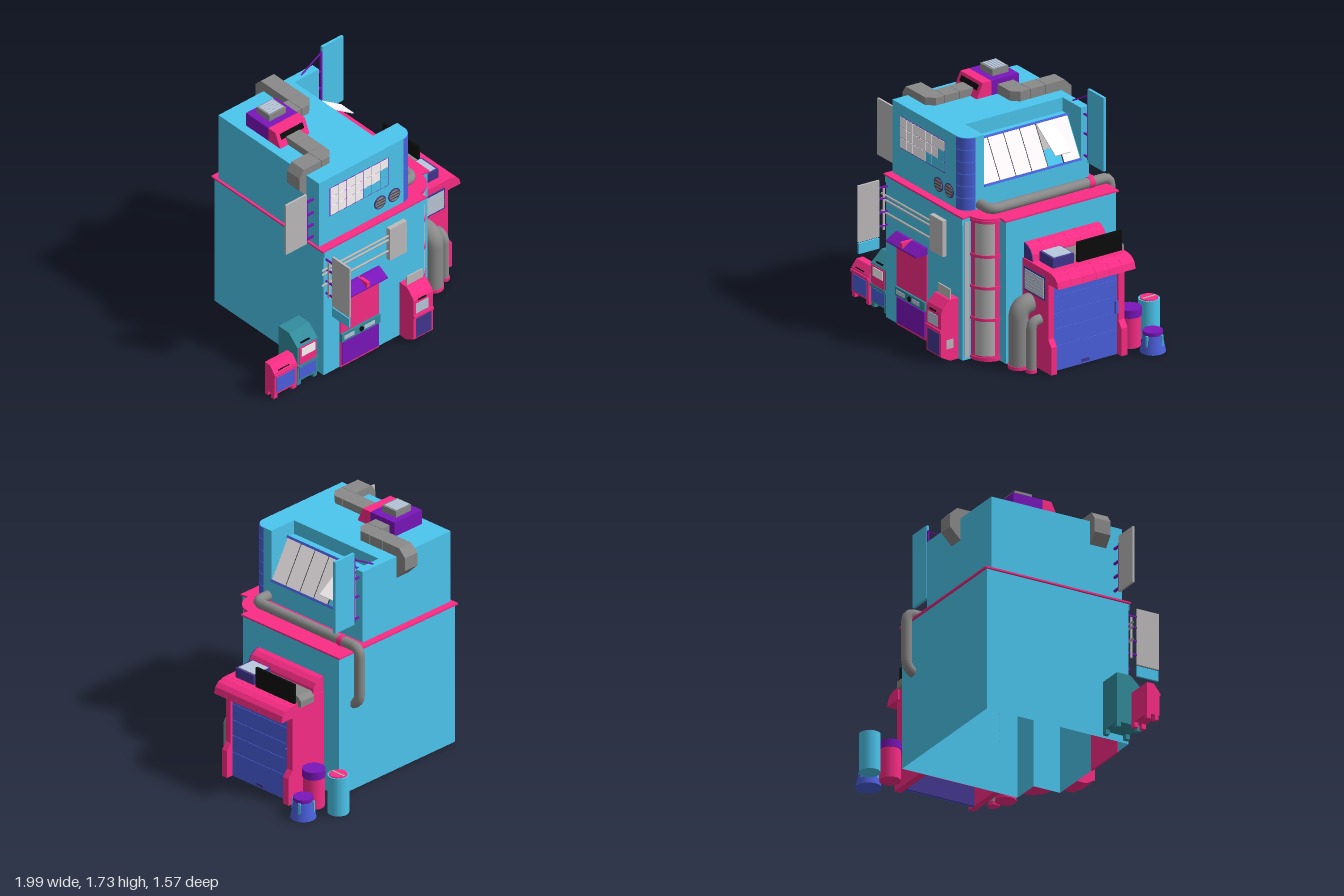
import * as THREE from 'three';
import { mergeGeometries } from 'three/addons/utils/BufferGeometryUtils.js';

const C = { cyan: 0x4cc6ee, pink: 0xfa2c86, blue: 0x4a60dd, purple: 0x7a16ba, navy: 0x423690, grey: 0x8a8a8a,
  light: 0xbcbaba, pane: 0xfffafc, teal: 0x338c9c, black: 0x0c0c0c, screen: 0xb8c8dc, dark: 0x3a3a46 };

export function createModel() {
  const root = new THREE.Group();
  const mats = {};
  const mat = (c) => (mats[c] ??= new THREE.MeshStandardMaterial({ color: C[c], side: THREE.DoubleSide }));
  const add = (name, c, geo) => {
    const m = new THREE.Mesh(geo, mat(c));
    m.name = name;
    root.add(m);
    return m;
  };
  // Box from its extents
  const box = (name, c, x0, x1, y0, y1, z0, z1) =>
    add(name, c, new THREE.BoxGeometry(x1 - x0, y1 - y0, z1 - z0).translate((x0 + x1) / 2, (y0 + y1) / 2, (z0 + z1) / 2));
  const extrude = (pts, depth) =>
    new THREE.ExtrudeGeometry(new THREE.Shape(pts.map((p) => new THREE.Vector2(p[0], p[1]))), { depth, bevelEnabled: false });
  // Prisms: (x,y) profile along z, (z,y) profile along x, (x,z) plan along y
  const prismZ = (name, c, pts, z0, z1) => add(name, c, extrude(pts, z1 - z0).translate(0, 0, z0));
  const prismX = (name, c, pts, x0, x1) =>
    add(name, c, extrude(pts.map(([z, y]) => [-z, y]), x1 - x0).rotateY(Math.PI / 2).translate(x0, 0, 0));
  const prismY = (name, c, pts, y0, y1) =>
    add(name, c, extrude(pts.map(([x, z]) => [x, -z]), y1 - y0).rotateX(-Math.PI / 2).translate(0, y0, 0));
  // Upright walls round a closed plan, open above and below
  const walls = (name, c, pts, h) => add(name, c, mergeGeometries(pts.map(([x, z], i) => {
    const [u, w] = pts[(i + 1) % pts.length];
    return new THREE.PlaneGeometry(Math.hypot(u - x, w - z), h).rotateY(Math.atan2(z - w, u - x)).translate((x + u) / 2, h / 2, (z + w) / 2);
  })));
  const cyl = (name, c, r0, r1, y0, y1, x, z, t0 = 0, t1 = Math.PI * 2, n = 24) =>
    add(name, c, new THREE.CylinderGeometry(r1, r0, y1 - y0, n, 1, false, t0, t1 - t0).translate(x, (y0 + y1) / 2, z));
  // Quarter arc from +z round to +x
  const arc = (cx, cz, r, n = 10) => Array.from({ length: n + 1 }, (_, i) => {
    const a = (i / n) * Math.PI / 2;
    return [cx + r * Math.sin(a), cz + r * Math.cos(a)];
  });
  // Round pipe through points, with rounded bends
  const pipe = (name, c, pts, r, bend = 0.1, sides = 16) => {
    const v = pts.map((p) => new THREE.Vector3(...p));
    const path = new THREE.CurvePath();
    let from = v[0];
    for (let i = 1; i < v.length - 1; i++) {
      const a = v[i].clone().add(v[i - 1].clone().sub(v[i]).setLength(bend));
      const b = v[i].clone().add(v[i + 1].clone().sub(v[i]).setLength(bend));
      path.add(new THREE.LineCurve3(from, a));
      path.add(new THREE.QuadraticBezierCurve3(a, v[i], b));
      from = b;
    }
    path.add(new THREE.LineCurve3(from, v[v.length - 1]));
    return add(name, c, new THREE.TubeGeometry(path, pts.length > 2 ? 60 : 1, r, sides, false));
  };
  const H = Math.PI / 2;

  // Lower storey: open-bottomed walls with a notched corner
  walls('lowerStorey', 'cyan', [[-0.575, 0.54], [0.32, 0.54], [0.32, 0.335], [0.53, 0.335], [0.53, -0.56], [-0.575, -0.56]], 1.03);
  prismY('ledge', 'pink', [[-0.59, 0.55], [0.335, 0.55], ...arc(0.325, 0.34, 0.148), [0.54, 0.345], [0.54, -0.575], [-0.59, -0.575]], 1.03, 1.042);
  box('frontCornice', 'cyan', -0.575, 0.32, 0.985, 1.03, 0.541, 0.547);

  // Rounded corner column with tall panes and rings
  cyl('cornerColumn', 'pink', 0.137, 0.137, 0, 1.03, 0.32, 0.335, 0, H);
  [[0.04, 0.295], [0.31, 0.525], [0.54, 0.755], [0.77, 1.0]].forEach(([a, b]) =>
    cyl('columnPane', 'light', 0.139, 0.139, a, b, 0.32, 0.335, 0.3, 1.3));
  [0.02, 0.302, 0.532, 0.762, 1.012].forEach((y) => cyl('columnRing', 'pink', 0.145, 0.145, y - 0.01, y + 0.01, 0.32, 0.335, 0, H));
  box('cornerPanel', 'light', 0.321, 0.326, 0.02, 1.0, 0.488, 0.525);

  // Upper storey: sloped window bay between two full-height ends
  prismZ('upperStorey', 'cyan', [[-0.572, 1.04], [0.265, 1.04], [0.265, 1.19], [0.105, 1.47], [0.05, 1.47], [0.05, 1.57], [-0.572, 1.57]], -0.46, 0.33);
  prismY('upperFront', 'cyan', [[-0.572, 0.33], [-0.572, 0.49], ...arc(0.175, 0.4, 0.09), [0.265, 0.33]], 1.04, 1.57);
  box('upperBack', 'cyan', -0.572, 0.265, 1.04, 1.57, -0.523, -0.46);
  for (let i = 0; i < 6; i++) {
    const y = 1.045 + i * 0.0875;
    cyl('blueCorner', 'blue', 0.094, 0.094, y, y + 0.0845, 0.175, 0.4, 0, H);
  }

  // Sloped window panes, one hanging open
  const slope = (t, d) => [0.262 - 0.157 * t + 0.87 * d, 1.195 + 0.275 * t + 0.5 * d];
  const slab = (name, c, t0, t1, d, z0, z1) => prismZ(name, c, [slope(t0, 0), slope(t0, d), slope(t1, d), slope(t1, 0)], z0, z1);
  for (let i = 0; i < 6; i++) {
    const z = 0.325 - i * 0.13;
    if (i === 4) slab('upperPane', 'light', 0.4, 1, 0.004, z - 0.127, z);
    else slab('slopedPane', 'pane', 0.02, 0.98, 0.006, z - 0.127, z);
    if (i) slab('slopedMullion', 'dark', 0, 1, 0.008, z, z + 0.004);
  }
  prismZ('openPane', 'pane', [[0.11, 1.475], [0.345, 1.315], [0.342, 1.309], [0.107, 1.469]], -0.325, -0.198);
  slab('windowSill', 'blue', -0.02, 0.03, 0.014, -0.46, 0.33);
  slab('windowHead', 'blue', 0.97, 1.02, 0.014, -0.46, 0.33);

  // Front grid window
  box('gridWindowFrame', 'purple', -0.478, 0.043, 1.252, 1.483, 0.485, 0.492);
  for (let i = 0; i < 7; i++) for (let j = 0; j < 3; j++) {
    const x = -0.475 + i * 0.0736, y = 1.256 + j * 0.0753;
    const broken = (j === 0 && i > 3) || (j === 1 && i === 6);
    box('gridPane', broken ? 'cyan' : 'pane', x + 0.002, x + 0.0716, y + 0.002, y + 0.0733, 0.486, 0.495);
  }
  // Round vents
  [-0.03, 0.095].forEach((x) => {
    add('ventRim', 'navy', new THREE.CylinderGeometry(0.052, 0.052, 0.014, 24).rotateX(H).translate(x, 1.145, 0.488));
    add('ventFace', 'grey', new THREE.CylinderGeometry(0.044, 0.044, 0.014, 24).rotateX(H).translate(x, 1.145, 0.49));
    for (let k = -1; k <= 1; k++) box('ventSlat', 'dark', x - 0.038, x + 0.038, 1.142 + k * 0.022, 1.148 + k * 0.022, 0.49, 0.499);
  });

  // Sign boards with brackets
  box('leftSign', 'light', -0.82, -0.635, 1.07, 1.48, 0.425, 0.44);
  box('leftSignRail', 'purple', -0.635, -0.625, 1.09, 1.43, 0.427, 0.438);
  [1.1, 1.2, 1.3, 1.41].forEach((y) => box('leftSignBracket', 'purple', -0.635, -0.57, y - 0.008, y + 0.008, 0.426, 0.438));
  box('frontSign', 'light', -0.562, -0.547, 0.61, 1.02, 0.612, 0.785);
  box('frontSignFoot', 'cyan', -0.562, -0.547, 0.525, 0.6, 0.612, 0.78);
  [0.68, 0.78, 0.88, 0.96].forEach((y) => box('frontSignBracket', 'purple', -0.56, -0.549, y - 0.006, y + 0.006, 0.541, 0.615));
  box('frontSignRail', 'light', -0.56, -0.549, 0.65, 0.95, 0.565, 0.58);
  box('rightSign', 'cyan', 0.315, 0.5, 1.185, 1.72, -0.498, -0.478);
  box('rightSignRail', 'purple', 0.302, 0.315, 1.2, 1.68, -0.494, -0.482);
  pipe('rightSignStrut', 'purple', [[0.13, 1.57, -0.488], [0.31, 1.67, -0.488]], 0.006, 0.1, 6);
  [1.22, 1.38, 1.52].forEach((y) => box('rightSignBracket', 'purple', 0.26, 0.31, y - 0.006, y + 0.006, -0.494, -0.482));

  // Front conduits and junction box
  [0.895, 0.86, 0.77].forEach((y) => pipe('conduit', 'light', [[-0.6, y, 0.558], [-0.01, y, 0.558]], 0.008, 0.1, 8));
  box('junctionBox', 'light', -0.015, 0.135, 0.695, 0.955, 0.541, 0.575);

  // Shuttered front entrance
  box('entranceFrame', 'pink', -0.435, -0.09, 0.0, 0.64, 0.535, 0.55);
  box('entranceBase', 'purple', -0.425, -0.1, 0.02, 0.205, 0.541, 0.56);
  box('entranceCounter', 'teal', -0.435, -0.09, 0.215, 0.28, 0.541, 0.565);
  [-0.38, -0.2].forEach((x) => box('counterScreen', 'screen', x - 0.035, x + 0.055, 0.233, 0.262, 0.55, 0.569));
  add('counterKnob', 'black', new THREE.CylinderGeometry(0.018, 0.018, 0.01, 16).rotateX(H).translate(-0.262, 0.248, 0.568));
  prismX('entranceAwning', 'purple', [[0.541, 0.675], [0.56, 0.675], [0.635, 0.63], [0.635, 0.62], [0.541, 0.625]], -0.438, -0.088);
  box('awningClip', 'pink', -0.275, -0.25, 0.635, 0.675, 0.541, 0.638);

  // Ticket machine with tapered foot
  prismX('ticketMachine', 'pink', [[0.541, 0], [0.61, 0], [0.682, 0.04], [0.682, 0.36], [0.67, 0.385], [0.615, 0.44], [0.541, 0.44]], 0.1, 0.272);
  box('ticketPanel', 'navy', 0.12, 0.255, 0.05, 0.205, 0.67, 0.686);
  box('ticketLedge', 'pink', 0.1, 0.272, 0.215, 0.235, 0.66, 0.692);
  box('ticketScreen', 'screen', 0.12, 0.23, 0.25, 0.33, 0.66, 0.686);
  box('ticketSlot', 'black', 0.14, 0.21, 0.35, 0.362, 0.66, 0.685);
  box('ticketBoard', 'light', 0.115, 0.255, 0.44, 0.51, 0.59, 0.6);
  box('ticketSideVent', 'light', 0.268, 0.275, 0.09, 0.155, 0.585, 0.64);

  // Standing cabinets: side profile, lower panel, ledge and feet
  const cabinet = (name, c, x0, x1, h, zb, zf, panelTop) => {
    const d = zf - zb;
    prismX(name, c, [[zb, 0.035], [zf, 0.035], [zf, h * 0.8], [zf - d * 0.45, h], [zb, h]], x0, x1);
    box(name + 'Panel', 'blue', x0 + 0.02, x1 - 0.02, 0.05, panelTop, zf - 0.03, zf + 0.004);
    box(name + 'Ledge', c, x0, x1, panelTop + 0.012, panelTop + 0.03, zf - 0.03, zf + 0.01);
    box(name + 'Slot', 'black', x0 + 0.04, x1 - 0.06, h * 0.81, h * 0.85, zf - 0.04, zf - d * 0.06);
    [x0, x1 - 0.035].forEach((x) => [zb, zf - 0.035].forEach((z) => box(name + 'Foot', c, x, x + 0.035, 0, 0.037, z, z + 0.03)));
  };
  cabinet('tallCabinet', 'teal', -0.785, -0.605, 0.395, 0.325, 0.515, 0.14);
  box('tallCabinetFace', 'pink', -0.77, -0.62, 0.16, 0.31, 0.5, 0.521);
  box('tallCabinetScreen', 'pane', -0.755, -0.635, 0.235, 0.3, 0.5, 0.525);
  cabinet('lowCabinet', 'pink', -1.0, -0.8, 0.262, 0.43, 0.525, 0.17);

  // Side annex: hollow, with flared end frames, roller door and lintel
  const frame = [[0.53, 0], [0.865, 0], [0.865, 0.2], [0.83, 0.25], [0.83, 0.74], [0.53, 0.74]];
  prismZ('annexFrontFrame', 'pink', frame, 0.155, 0.2);
  prismZ('annexBackFrame', 'pink', frame, -0.42, -0.37);
  box('annexRoof', 'pink', 0.53, 0.83, 0.725, 0.74, -0.37, 0.155);
  box('annexInnerWall', 'pink', 0.531, 0.536, 0, 0.725, -0.37, 0.155);
  box('annexLintel', 'pink', 0.8, 0.83, 0.65, 0.725, -0.37, 0.155);
  box('rollerDoorBack', 'navy', 0.79, 0.81, 0, 0.725, -0.37, 0.155);
  [[0, 0.178], [0.181, 0.303], [0.306, 0.419], [0.422, 0.54], [0.543, 0.65]].forEach(([a, b]) =>
    box('rollerDoorSlat', 'blue', 0.8, 0.815, a, b, -0.37, 0.155));
  box('doorHandle', 'navy', 0.81, 0.822, 0.015, 0.035, -0.14, -0.08);
  box('doorKeypad', 'blue', 0.815, 0.828, 0.3, 0.39, -0.37, -0.35);
  const awning = [[0.8, 0.65], [0.8, 0.74], [0.86, 0.738], [0.905, 0.722], [0.932, 0.695], [0.945, 0.65]];
  const hump = [[0.53, 0.74], [0.53, 0.85], [0.565, 0.843], [0.6, 0.82], [0.622, 0.785], [0.63, 0.74]];
  for (let i = 0; i < 6; i++) {
    const z = -0.43 + i * 0.105, w = -0.415 + i * 0.1;
    prismZ('annexAwning', 'pink', awning, z, z + 0.104);
    prismZ('annexRoll', 'pink', hump, w, w + 0.099);
  }
  prismZ('annexRollCap', 'navy', hump, 0.184, 0.19);
  box('annexRoofBoard', 'black', 0.79, 0.808, 0.74, 0.885, -0.415, -0.055);
  box('annexCooler', 'navy', 0.64, 0.8, 0.74, 0.81, -0.03, 0.14);
  box('annexCoolerGrille', 'screen', 0.65, 0.785, 0.805, 0.815, -0.02, 0.125);
  for (let i = 0; i < 3; i++) box('annexDuct', 'grey', 0.655, 0.78, 0.74, 0.79, -0.41 + i * 0.127, -0.285 + i * 0.127);
  prismX('annexDuctSpout', 'grey', [[-0.412, 0.79], [-0.43, 0.785], [-0.452, 0.76], [-0.452, 0.715], [-0.421, 0.715], [-0.412, 0.745]], 0.655, 0.78);
  box('annexWindowFrame', 'navy', 0.555, 0.8, 0.52, 0.69, 0.195, 0.206);
  box('annexWindow', 'screen', 0.568, 0.788, 0.533, 0.677, 0.2, 0.21);
  for (let i = 1; i < 6; i++) box('annexWindowSlat', 'light', 0.568, 0.788, 0.531 + i * 0.024, 0.535 + i * 0.024, 0.205, 0.212);
  pipe('largeFrontPipe', 'grey', [[0.618, 0, 0.295], [0.618, 0.445, 0.295], [0.618, 0.445, 0.17]], 0.067, 0.09);
  pipe('smallFrontPipe', 'grey', [[0.733, 0, 0.27], [0.733, 0.365, 0.27], [0.733, 0.365, 0.17]], 0.035, 0.06);
  [[0.618, 0.295, 0.072], [0.733, 0.27, 0.039]].forEach(([x, z, r]) => cyl('pipeCollar', 'pink', r, r, 0, 0.025, x, z));

  // Pipe along the ledge and down the back
  pipe('ledgePipe', 'grey', [[0.25, 1.075, 0.36], [0.385, 1.075, 0.36], [0.385, 1.075, -0.612], [0.385, 0.67, -0.612], [0.385, 0.645, -0.555]], 0.036, 0.06);
  add('pipeClamp', 'pink', new THREE.CylinderGeometry(0.039, 0.039, 0.04, 20).rotateX(H).translate(0.385, 1.075, -0.45));

  // Rooftop unit
  box('roofUnit', 'purple', -0.51, -0.25, 1.57, 1.675, -0.315, -0.09);
  prismX('roofUnitHood', 'pink', [[-0.09, 1.57], [0.03, 1.57], [0.01, 1.61], [-0.02, 1.675], [-0.09, 1.675]], -0.51, -0.25);
  prismX('roofUnitSlot', 'black', [[0.011, 1.62], [-0.006, 1.655], [-0.03, 1.655], [-0.03, 1.62]], -0.48, -0.28);
  box('roofUnitVent', 'grey', -0.455, -0.31, 1.675, 1.722, -0.27, -0.14);
  for (let i = 0; i < 5; i++) box('roofUnitGrille', 'screen', -0.445, -0.32, 1.715, 1.726, -0.26 + i * 0.022, -0.243 + i * 0.022);
  // Square ducts in jointed lengths, spilling over the eaves
  [[0.0, 0.117], [0.12, 0.237]].forEach(([a, b]) => box('frontDuct', 'grey', -0.44, -0.32, 1.57, 1.625, a, b));
  prismY('frontDuctElbow', 'grey', [[-0.44, 0.24], [-0.32, 0.24], [-0.32, 0.31], [-0.37, 0.365], [-0.44, 0.365]], 1.57, 1.625);
  box('frontDuctRun', 'grey', -0.56, -0.443, 1.57, 1.625, 0.24, 0.365);
  prismZ('frontDuctSpout', 'grey', [[-0.56, 1.625], [-0.595, 1.625], [-0.635, 1.57], [-0.635, 1.47], [-0.575, 1.4], [-0.56, 1.4]], 0.24, 0.365);
  box('backDuct', 'grey', -0.25, -0.175, 1.57, 1.64, -0.27, -0.14);
  prismY('backDuctElbow', 'grey', [[-0.172, -0.14], [-0.105, -0.14], [-0.055, -0.19], [-0.055, -0.27], [-0.172, -0.27]], 1.57, 1.64);
  [[-0.395, -0.273], [-0.52, -0.398]].forEach(([a, b]) => box('backDuctRun', 'grey', -0.172, -0.055, 1.57, 1.64, a, b));
  prismX('backDuctSpout', 'grey', [[-0.51, 1.64], [-0.55, 1.64], [-0.605, 1.585], [-0.605, 1.49], [-0.525, 1.41], [-0.51, 1.41]], -0.172, -0.055);

  // Bins behind the annex
  const bin = (name, c, lid, r0, r1, h, x, z, lidR, lidH) => {
    cyl(name, c, r0, r1, 0, h, x, z);
    cyl(name + 'Lid', lid, lidR, lidR, h - 0.004, h + lidH, x, z);
  };
  bin('cyanBin', 'cyan', 'pink', 0.073, 0.073, 0.28, 0.692, -0.715, 0.062, 0.006);
  box('cyanBinLidSlot', 'light', 0.686, 0.698, 0.284, 0.289, -0.77, -0.66);
  bin('pinkBin', 'pink', 'purple', 0.073, 0.073, 0.225, 0.737, -0.53, 0.078, 0.053);
  bin('blueTub', 'blue', 'purple', 0.088, 0.064, 0.13, 0.905, -0.597, 0.068, 0.022);
  for (let i = 0; i < 4; i++) {
    const clip = box('tubClip', 'cyan', -0.008, 0.008, 0.05, 0.13, 0.066, 0.08);
    clip.rotation.y = i * H + 0.4;
    clip.position.set(0.905, 0, -0.597);
  }
  return root;
}
